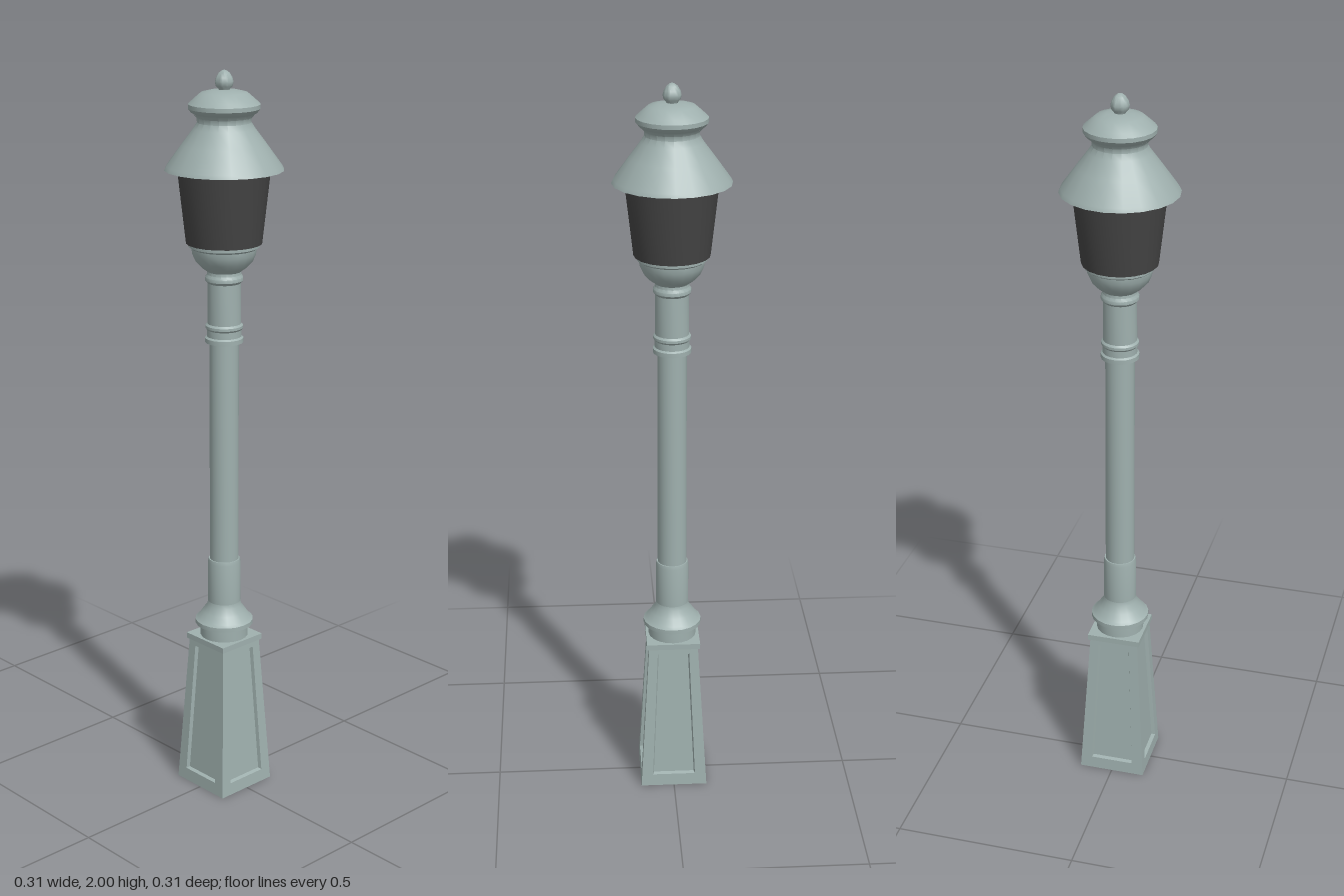
import * as THREE from 'three';
import { toCreasedNormals } from 'three/addons/utils/BufferGeometryUtils.js';

const SIDES = 20;

export function createModel() {
  const model = new THREE.Group();
  model.name = 'streetLamp';
  const metal = new THREE.MeshStandardMaterial({ color: 0x9fb0ae });
  const darkGlass = new THREE.MeshStandardMaterial({ color: 0x444444 });

  const add = (name, geometry, material = metal) => {
    const mesh = new THREE.Mesh(geometry, material);
    mesh.name = name;
    model.add(mesh);
    return mesh;
  };

  // Turned part from [radius, height] pairs, listed from bottom to top
  const turned = (name, profile, material) => {
    const points = profile.map(([r, y]) => new THREE.Vector2(r, y));
    add(name, toCreasedNormals(new THREE.LatheGeometry(points, SIDES), 0.65), material);
  };

  // Tapered square pedestal with a recessed panel on each side
  add('pedestal', pedestalGeometry());
  add('pedestalPlate', new THREE.BoxGeometry(0.148, 0.016, 0.148)).position.y = 0.44;

  // Round moulding between pedestal and post
  turned('baseMoulding', [
    [0, 0.445], [0.066, 0.445], [0.066, 0.478], [0.08, 0.484], [0.08, 0.496],
    [0.072, 0.502], [0.06, 0.52], [0.047, 0.538], [0.045, 0.55],
  ]);

  // Post with its lower sleeve and upper collar
  turned('lowerSleeve', [[0.045, 0.545], [0.045, 0.665], [0.043, 0.675], [0.039, 0.675]]);
  turned('post', [[0.04, 0.54], [0.039, 1.3]]);
  turned('upperCollar', [
    [0.038, 1.29], [0.051, 1.29], [0.051, 1.302], [0.046, 1.306], [0.046, 1.324],
    [0.05, 1.329], [0.05, 1.336], [0.045, 1.341], [0.044, 1.45],
    [0.05, 1.457], [0.05, 1.466], [0.045, 1.473], [0.045, 1.485],
  ]);

  // Lantern: bowl, dark glass and hood
  turned('lanternBowl', [
    [0.04, 1.475], [0.046, 1.482], [0.06, 1.492], [0.075, 1.508], [0.084, 1.528],
    [0.086, 1.542], [0.093, 1.547], [0.093, 1.558], [0, 1.558],
  ]);
  turned('lanternGlass', [[0, 1.556], [0.1, 1.556], [0.122, 1.752]], darkGlass);
  turned('hood', [
    [0, 1.747], [0.155, 1.747], [0.15, 1.757], [0.11, 1.812], [0.08, 1.852],
    [0.07, 1.868], [0.071, 1.88], [0.08, 1.89],
  ]);
  turned('hoodCap', [
    [0.07, 1.885], [0.085, 1.893], [0.093, 1.903], [0.093, 1.914],
    [0.082, 1.924], [0.06, 1.943], [0.035, 1.949], [0, 1.951],
  ]);
  turned('finial', [
    [0.014, 1.945], [0.015, 1.952], [0.022, 1.96], [0.024, 1.97],
    [0.021, 1.981], [0.014, 1.992], [0.006, 1.998], [0, 2],
  ]);

  return model;
}

function pedestalGeometry() {
  const height = 0.435;
  const half = (y) => THREE.MathUtils.lerp(0.093, 0.068, y / height);
  const positions = [];
  const quad = (a, b, c, d) => {
    for (const p of [a, b, c, a, c, d]) positions.push(p.x, p.y, p.z);
  };
  // Corners of a trapezoid on the front side, anticlockwise from bottom left
  const loop = (bottom, top, y0, y1, inset) => [
    new THREE.Vector3(-bottom, y0, half(y0) - inset),
    new THREE.Vector3(bottom, y0, half(y0) - inset),
    new THREE.Vector3(top, y1, half(y1) - inset),
    new THREE.Vector3(-top, y1, half(y1) - inset),
  ];
  const up = new THREE.Vector3(0, 1, 0);
  for (let side = 0; side < 4; side++) {
    const [outer, rim, panel] = [
      loop(half(0), half(height), 0, height, 0),
      loop(0.06, 0.044, 0.035, 0.415, 0),
      loop(0.057, 0.041, 0.038, 0.412, 0.01),
    ].map((l) => l.map((p) => p.applyAxisAngle(up, side * Math.PI / 2)));
    for (let i = 0; i < 4; i++) {
      const j = (i + 1) % 4;
      quad(outer[i], outer[j], rim[j], rim[i]);
      quad(rim[i], rim[j], panel[j], panel[i]);
    }
    quad(...panel);
  }
  // Underside and top
  const square = (h, y) => [[-h, h], [h, h], [h, -h], [-h, -h]].map(([x, z]) => new THREE.Vector3(x, y, z));
  quad(...square(half(0), 0).reverse());
  quad(...square(half(height), height));

  const geometry = new THREE.BufferGeometry();
  geometry.setAttribute('position', new THREE.Float32BufferAttribute(positions, 3));
  geometry.computeVertexNormals();
  return geometry;
}
